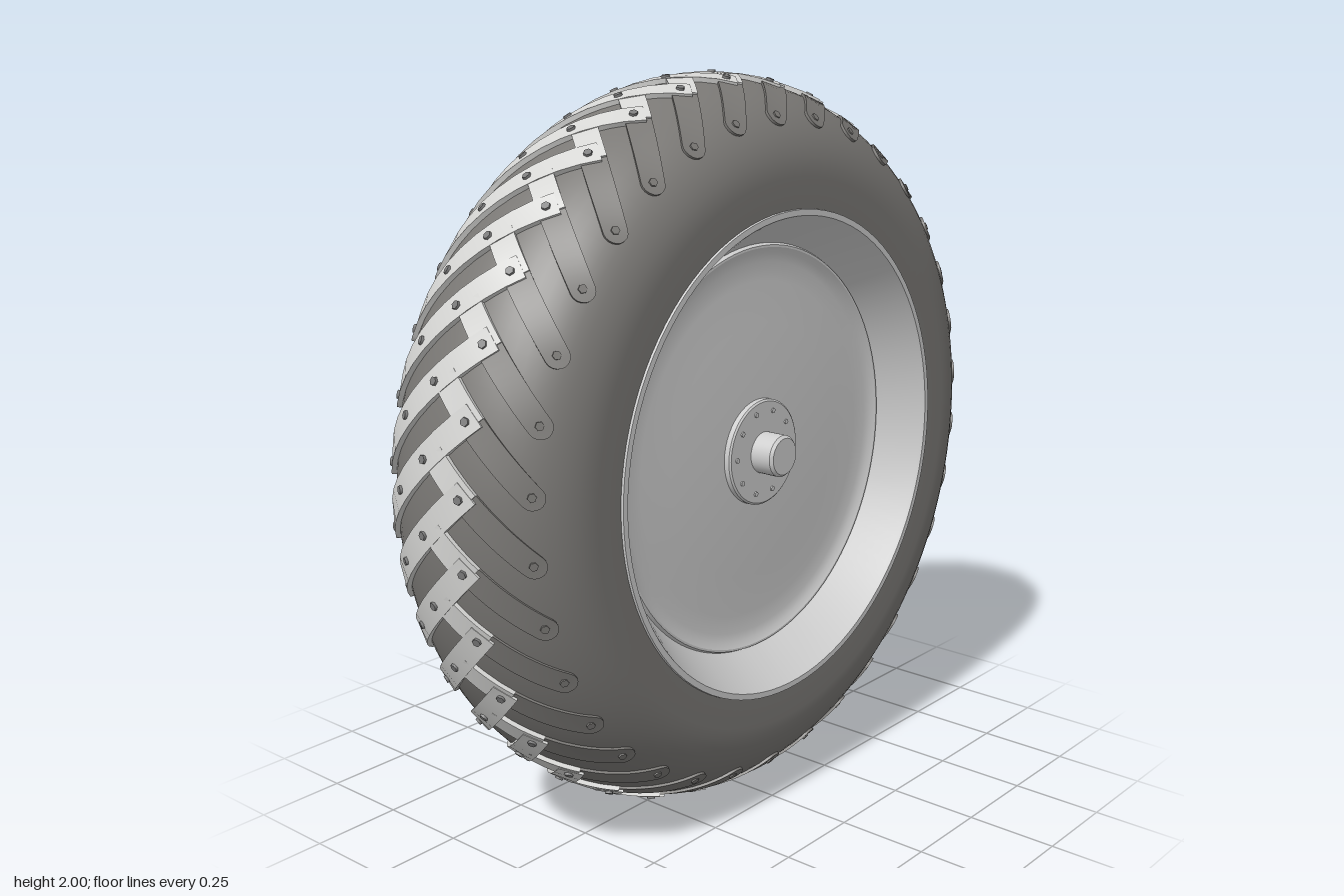
import * as THREE from 'three';
import { mergeGeometries, toCreasedNormals } from 'three/addons/utils/BufferGeometryUtils.js';

const mat = (name, color) => {
  const m = new THREE.MeshStandardMaterial({ color, side: THREE.DoubleSide });
  m.name = name;
  return m;
};

const COUNT = 34;            // tread bars on each half
const PITCH = (Math.PI * 2) / COUNT;
const ARC = 0.275;           // tread arc length per radian of the cross-section
const ROLL = 0.95;           // rolling radius used to wrap bars around the wheel
const HALF = 0.031;          // half the width of a bar

// Point on the tyre crown: s across the tread, v around it, h above the rubber
function crown(s, v, h, start) {
  const f = s / ARC, a = start - v / ROLL;
  const r = 0.74 + (0.244 + h) * Math.cos(f);
  return new THREE.Vector3(r * Math.cos(a), r * Math.sin(a), (0.3 + h) * Math.sin(f));
}

// Diagonal bar from s = from to s = to; side = 1 is the back half, -1 the front half
function bar(from, to, side, start, roundEnd, h) {
  const stations = [], length = (to - from) * Math.SQRT2;
  const along = roundEnd ? [0, 0.004, 0.011, 0.02, HALF] : [0];
  const first = along[along.length - 1];
  for (let i = 1; i <= 10; i++) along.push(first + ((length - first) * i) / 10);
  for (const d of along) {
    const w = roundEnd && d < HALF ? Math.sqrt(Math.max(0.00002, HALF * HALF - (HALF - d) ** 2)) : HALF;
    stations.push([d / Math.SQRT2, w / Math.SQRT2]);
  }
  const pos = [], idx = [];
  for (const [d, w] of stations) {
    for (const [k, y] of [[-1, -0.012], [-1, h], [1, h], [1, -0.012]]) {
      const p = crown(from + d + k * w, from + 0.248 + d - k * w, y, start);
      pos.push(p.x, p.y, side * p.z);
    }
  }
  const quad = (a, b, c, d) => (side > 0 ? idx.push(a, c, b, a, d, c) : idx.push(a, b, c, a, c, d));
  for (let i = 0; i < stations.length - 1; i++) {
    for (let k = 0; k < 4; k++) {
      const a = i * 4 + k, b = i * 4 + ((k + 1) % 4);
      quad(a, b, b + 4, a + 4);
    }
  }
  const e = (stations.length - 1) * 4;
  quad(3, 2, 1, 0);
  quad(e, e + 1, e + 2, e + 3);
  const g = new THREE.BufferGeometry();
  g.setAttribute('position', new THREE.Float32BufferAttribute(pos, 3));
  g.setIndex(idx);
  return toCreasedNormals(g, 0.6);
}

// Small six-sided stud whose head stands at height h
function stud(s, side, start, h) {
  const low = crown(s, s + 0.248, h - 0.01, start), high = crown(s, s + 0.248, h, start);
  low.z *= side;
  high.z *= side;
  const g = new THREE.CylinderGeometry(0.011, 0.012, 0.01, 6);
  const up = high.clone().sub(low).normalize();
  g.applyQuaternion(new THREE.Quaternion().setFromUnitVectors(new THREE.Vector3(0, 1, 0), up));
  return g.translate(...low.lerp(high, 0.5).toArray());
}

// Turned part about the z axle from [radius, z] points
function turned(points, segments = 96) {
  const g = new THREE.LatheGeometry(points.map(([r, z]) => new THREE.Vector2(r, z)), segments);
  return toCreasedNormals(g.rotateX(Math.PI / 2), 0.4);
}

export function createModel() {
  const rubber = mat('dark rubber', 0x7a7875);
  const metal = mat('light metal', 0xcecece);
  const barMetal = mat('tread metal', 0xd6d6d4);
  const studMetal = mat('stud grey', 0x7c7c7c);

  const wheel = new THREE.Group();
  wheel.name = 'wheel';
  const add = (name, geometry, material) => {
    const m = new THREE.Mesh(geometry, material);
    m.name = name;
    wheel.add(m);
  };

  // Tyre body with flat sidewalls and a rounded crown
  const section = [[0.648, -0.298]];
  for (let i = 0; i <= 28; i++) {
    const f = -Math.PI / 2 + (Math.PI * i) / 28;
    section.push([0.74 + 0.244 * Math.cos(f), 0.3 * Math.sin(f)]);
  }
  section.push([0.648, 0.298]);
  add('tyre', turned(section, 128), rubber);

  // Tread bars in chevrons: plated on the back half and around the apex, bare towards the front
  const plated = [], bare = [], studs = [], bareStuds = [];
  for (let i = 0; i < COUNT; i++) {
    const start = Math.PI / 2 + i * PITCH;
    plated.push(bar(-0.272, 0.1, 1, start, true, 0.013));
    plated.push(bar(-0.1, -0.005, -1, start, false, 0.0115));
    bare.push(bar(-0.272, -0.1, -1, start, true, 0.007));
    for (const s of [-0.248, -0.11, -0.02, 0.082]) studs.push(stud(s, 1, start, 0.017));
    bareStuds.push(stud(-0.248, -1, start, 0.0095));
  }
  add('platedTreadBars', mergeGeometries(plated), barMetal);
  add('bareTreadBars', mergeGeometries(bare), rubber);
  add('treadStuds', mergeGeometries(studs), studMetal);
  add('bareTreadStuds', mergeGeometries(bareStuds), rubber);

  // Front rim flange, sloping barrel and gently domed plate with a curled edge
  add('frontRim', turned([
    [0.56, 0.18], [0.568, 0.19], [0.636, 0.296], [0.642, 0.305], [0.658, 0.305], [0.66, 0.29],
  ]), metal);
  add('frontPlate', turned([
    [0.562, 0.18], [0.556, 0.192], [0.55, 0.192], [0.535, 0.183], [0.51, 0.178],
    [0.46, 0.178], [0.35, 0.184], [0.2, 0.19], [0, 0.192],
  ]), metal);

  // Front hub disc, axle cap and bolt ring
  add('hubDisc', turned([[0.145, 0.18], [0.145, 0.206], [0.14, 0.21], [0, 0.21]], 48), metal);
  add('axleCap', turned([[0.057, 0.2], [0.057, 0.272], [0.05, 0.28], [0, 0.28]], 32), metal);
  const bolts = [];
  for (let i = 0; i < 10; i++) {
    const a = (i / 10) * Math.PI * 2;
    bolts.push(new THREE.CylinderGeometry(0.007, 0.007, 0.008, 8).rotateX(Math.PI / 2)
      .translate(0.115 * Math.cos(a), 0.115 * Math.sin(a), 0.21));
  }
  add('hubBolts', mergeGeometries(bolts), metal);

  // Back rim stepping in to a deep funnel
  add('backRim', turned([
    [0.405, -0.155], [0.408, -0.17], [0.425, -0.174], [0.55, -0.238], [0.56, -0.25],
    [0.57, -0.25], [0.638, -0.293], [0.645, -0.303], [0.655, -0.303], [0.655, -0.29],
  ]), metal);
  add('backFunnel', turned([
    [0.12, 0.02], [0.15, -0.004], [0.19, -0.034], [0.25, -0.074], [0.33, -0.12], [0.407, -0.158],
  ]), metal);

  // Hollow axle sleeve at the bottom of the funnel
  add('axleSleeve', turned([
    [0, 0.07], [0.09, 0.07], [0.09, 0.005], [0.095, 0], [0.118, 0], [0.123, 0.005], [0.123, 0.06],
  ], 48), metal);

  wheel.position.y = 1;
  const model = new THREE.Group();
  model.name = 'treadedWheel';
  model.add(wheel);
  return model;
}
